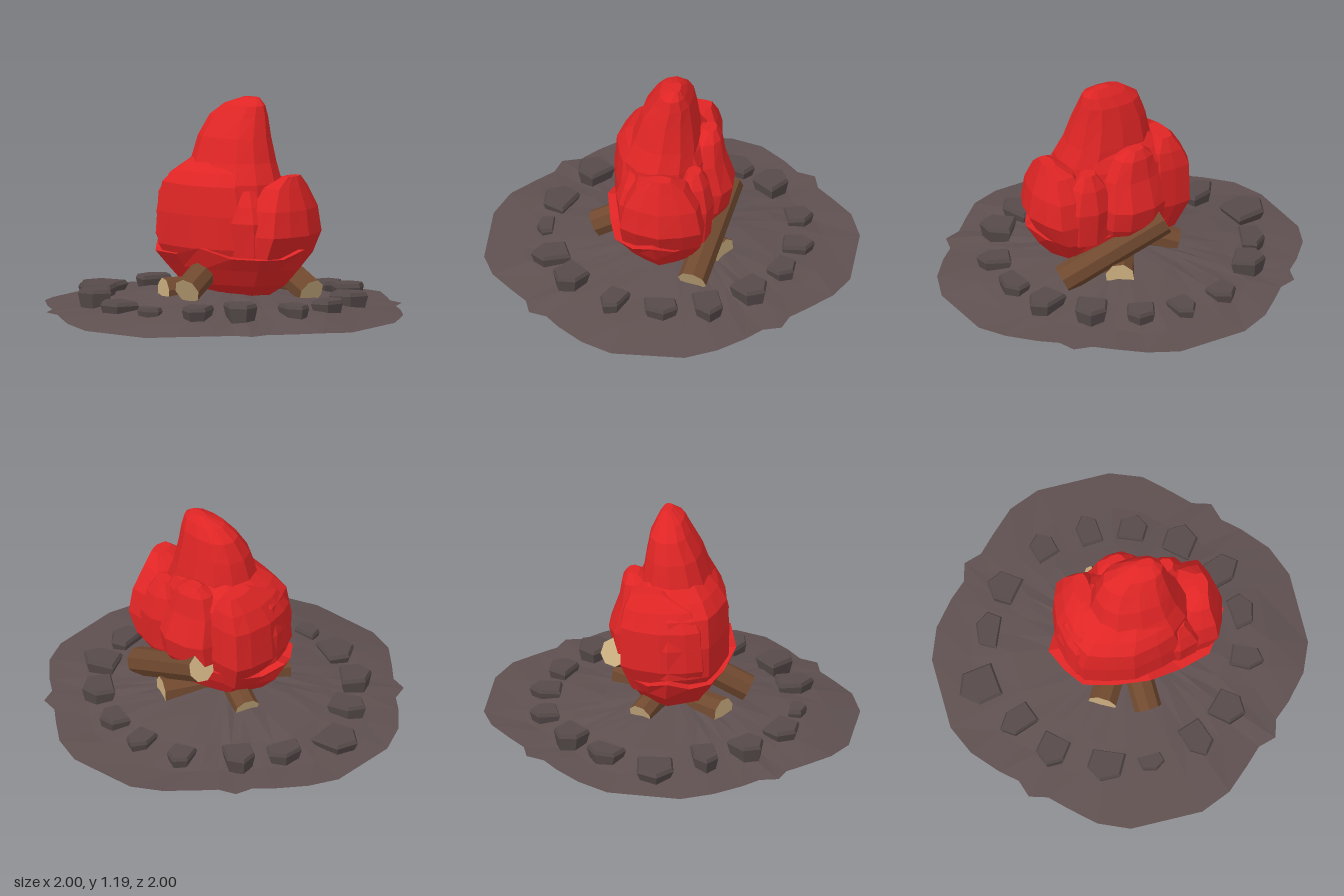
import * as THREE from 'three';

const V = (x, y, z) => new THREE.Vector3(x, y, z);
const mat = (name, color, extra = {}) => {
  const m = new THREE.MeshStandardMaterial({ color, flatShading: true, ...extra });
  m.name = name;
  return m;
};

// Skins a stack of point rings; each end may be closed with a fan
function loft(rings, capStart = true, capEnd = true) {
  const pos = [];
  const tri = (...pts) => pts.forEach((p) => pos.push(p.x, p.y, p.z));
  const n = rings[0].length;
  const centre = (r) => r.reduce((s, p) => s.add(p), V(0, 0, 0)).divideScalar(n);
  const first = rings[0], last = rings[rings.length - 1];
  const c0 = centre(first), c1 = centre(last);
  for (let i = 0; i < n; i++) {
    const j = (i + 1) % n;
    for (let k = 0; k < rings.length - 1; k++) {
      const a = rings[k], b = rings[k + 1];
      tri(a[i], b[i], a[j]);
      tri(a[j], b[i], b[j]);
    }
    if (capStart) tri(c0, first[i], first[j]);
    if (capEnd) tri(c1, last[j], last[i]);
  }
  const g = new THREE.BufferGeometry();
  g.setAttribute('position', new THREE.Float32BufferAttribute(pos, 3));
  g.computeVertexNormals();
  return g;
}

// Flame lobe: each section is [y, xMin, xMax, zMin, zMax], a ribbed, squarish ring
function lobe(sections, sides = 16, square = 0.75, rib = 0.04, tip = 0) {
  return loft(sections.map(([y, x0, x1, z0, z1], k) => Array.from({ length: sides }, (_, i) => {
    const a = (i / sides) * Math.PI * 2;
    const c = Math.cos(a), s = Math.sin(a);
    const r = i % 2 ? 1 - rib : 1;
    const px = Math.sign(c) * Math.abs(c) ** square * r;
    const pz = Math.sign(s) * Math.abs(s) ** square * r;
    const rise = k === sections.length - 1 ? tip * (i % 4 === 0 ? 0 : -1) : 0;
    return V((x0 + x1) / 2 + px * (x1 - x0) / 2, y + rise, (z0 + z1) / 2 + pz * (z1 - z0) / 2);
  })));
}

export function createModel() {
  const model = new THREE.Group();
  const earth = mat('earth', 0x5f5050, { side: THREE.DoubleSide });
  const rock = mat('rock', 0x564a4a);
  const bark = mat('bark', 0x70492f);
  const cutWood = mat('cutWood', 0xcdb081);
  const fire = mat('fire', 0xe02525);
  const add = (name, geo, material, parent = model) => {
    const m = new THREE.Mesh(geo, material);
    m.name = name;
    parent.add(m);
    return m;
  };

  // Low earth mound with a stepped round outline, open underneath
  const quarter = [[1, 0.2], [0.93, 0.37], [0.81, 0.51], [0.72, 0.59], [0.69, 0.69], [0.59, 0.72], [0.5, 0.81], [0.37, 0.93], [0.2, 1]];
  const mirrored = quarter.slice().reverse();
  const outline = [
    ...quarter, ...mirrored.map(([x, z]) => [-x, z]),
    ...quarter.map(([x, z]) => [-x, -z]), ...mirrored.map(([x, z]) => [x, -z]),
  ];
  const levels = [[1, 0], [0.8, 0.06], [0.58, 0.095], [0.36, 0.13], [0.15, 0.16]];
  add('ground', loft(levels.map(([s, h]) => outline.map(([x, z], i) => {
    const edge = Math.max(0.002, 0.028 - 0.014 * x - 0.02 * z + (Math.abs(x * z) > 0.3 ? 0.012 : 0));
    const bump = s < 0.9 && s > 0.2 ? 0.006 * Math.sin(i * 1.9 + s * 9) : 0;
    return V(x * s, (s === 1 ? edge : h) + bump, z * s);
  })), false, true), earth);

  // Ring of wedge-shaped stones: [x, z, radial size, width, top height]
  const stones = new THREE.Group();
  stones.name = 'stoneRing';
  model.add(stones);
  [
    [-0.26, -0.66, 0.15, 0.14, 0.13], [0, -0.69, 0.17, 0.13, 0.13], [0.24, -0.64, 0.14, 0.16, 0.14],
    [0.47, -0.5, 0.17, 0.18, 0.16], [0.64, -0.28, 0.2, 0.16, 0.15], [0.69, -0.03, 0.13, 0.19, 0.14],
    [0.65, 0.24, 0.18, 0.13, 0.14], [0.48, 0.5, 0.18, 0.17, 0.16], [0.27, 0.63, 0.2, 0.15, 0.14],
    [0, 0.69, 0.09, 0.14, 0.12], [-0.25, 0.65, 0.17, 0.2, 0.13], [-0.51, 0.5, 0.17, 0.17, 0.16],
    [-0.65, 0.28, 0.2, 0.14, 0.15], [-0.8, 0.03, 0.22, 0.21, 0.125], [-0.67, -0.27, 0.13, 0.2, 0.14],
    [-0.53, -0.48, 0.17, 0.17, 0.16],
  ].forEach(([x, z, d, w, top], k) => {
    const flip = k % 2 ? 1 : -1;
    const plan = [[0.5, -0.1], [0.28, 0.42], [-0.46, 0.5], [-0.5, -0.38], [0.1, -0.48]].map(([r, t]) => [r, t * flip]);
    if (flip < 0) plan.reverse();
    const ring = (y, s) => plan.map(([r, t]) => V(r * d * s, y, t * w * s));
    const stone = add('stone', loft([ring(0.045, 0.8), ring(top - 0.02, 1.04), ring(top, 0.92)]), rock, stones);
    stone.position.set(x, 0, z);
    stone.rotation.y = Math.atan2(-z, x);
  });

  // Crossed logs with pale cut ends
  const logs = new THREE.Group();
  logs.name = 'logs';
  model.add(logs);
  [
    [V(0.05, 0.18, 0.41), V(0.03, 0.38, 0.02), 0.075],
    [V(-0.18, 0.145, 0.31), V(0.18, 0.145, -0.31), 0.08],
    [V(0.46, 0.14, -0.17), V(-0.1, 0.42, -0.3), 0.08],
    [V(-0.28, 0.14, -0.13), V(0.1, 0.28, 0.05), 0.07],
  ].forEach(([a, b, r]) => {
    const dir = b.clone().sub(a);
    const log = add('log', new THREE.CylinderGeometry(r, r, dir.length(), 8), [bark, cutWood, cutWood], logs);
    log.position.copy(a).add(b).multiplyScalar(0.5);
    log.quaternion.setFromUnitVectors(V(0, 1, 0), dir.normalize());
  });

  // Flame built from overlapping lobes
  const flame = new THREE.Group();
  flame.name = 'flame';
  model.add(flame);
  add('flameBase', lobe([
    [0.13, -0.1, 0.3, -0.12, 0.14], [0.2, -0.26, 0.42, -0.2, 0.23],
    [0.29, -0.35, 0.5, -0.25, 0.29], [0.41, -0.41, 0.57, -0.27, 0.34],
  ], 16, 0.95, 0.06, 0.05), fire, flame);
  add('flameBody', lobe([
    [0.2, -0.24, 0.32, -0.18, 0.22], [0.4, -0.35, 0.36, -0.25, 0.31], [0.58, -0.36, 0.36, -0.26, 0.315],
    [0.74, -0.32, 0.32, -0.24, 0.3], [0.81, -0.25, 0.3, -0.2, 0.25], [0.87, -0.16, 0.25, -0.15, 0.18],
  ], 16, 0.8, 0.05), fire, flame);
  add('mainTongue', lobe([
    [0.5, -0.2, 0.4, -0.2, 0.25], [0.75, -0.18, 0.365, -0.18, 0.25], [0.86, -0.17, 0.32, -0.17, 0.2],
    [0.99, -0.14, 0.285, -0.15, 0.155], [1.1, -0.09, 0.26, -0.13, 0.09],
    [1.16, -0.01, 0.245, -0.1, 0.05], [1.2, 0.1, 0.2, -0.07, -0.02],
  ], 12, 0.85, 0.02), fire, flame);
  add('rightTongue', lobe([
    [0.22, 0.2, 0.4, -0.16, 0.16], [0.36, 0.2, 0.51, -0.24, 0.24], [0.48, 0.22, 0.57, -0.25, 0.25],
    [0.62, 0.26, 0.55, -0.22, 0.22], [0.74, 0.32, 0.51, -0.14, 0.15], [0.8, 0.42, 0.49, -0.06, 0.07],
  ], 12, 0.85, 0.08), fire, flame);
  add('leftTongue', lobe([
    [0.28, -0.28, -0.05, -0.2, 0.2], [0.45, -0.36, -0.05, -0.26, 0.24], [0.68, -0.35, -0.06, -0.26, 0.22],
    [0.78, -0.3, -0.08, -0.24, 0.16], [0.86, -0.23, -0.14, -0.2, -0.02],
  ], 12, 0.7, 0.06), fire, flame);
  add('backTongue', lobe([
    [0.3, -0.08, 0.2, -0.25, -0.05], [0.42, -0.14, 0.24, -0.33, -0.05], [0.54, -0.14, 0.24, -0.355, -0.06],
    [0.7, -0.12, 0.21, -0.3, -0.08], [0.82, -0.08, 0.15, -0.28, -0.1], [0.87, -0.02, 0.08, -0.25, -0.18],
  ], 10, 0.85, 0.04), fire, flame);
  // Shoulder tufts around the neck of the flame
  [[0.27, 0.16, 0.72], [0.29, -0.16, 0.76]].forEach(([x, z, h]) => add('shoulderTongue', lobe([
    [0.35, x - 0.13, x + 0.13, z - 0.09, z + 0.09], [0.55, x - 0.14, x + 0.14, z - 0.11, z + 0.11],
    [h - 0.08, x - 0.1, x + 0.1, z - 0.08, z + 0.08], [h, x - 0.04, x + 0.05, z - 0.04, z + 0.04],
  ], 8, 0.8, 0.03), fire, flame));

  return model;
}
